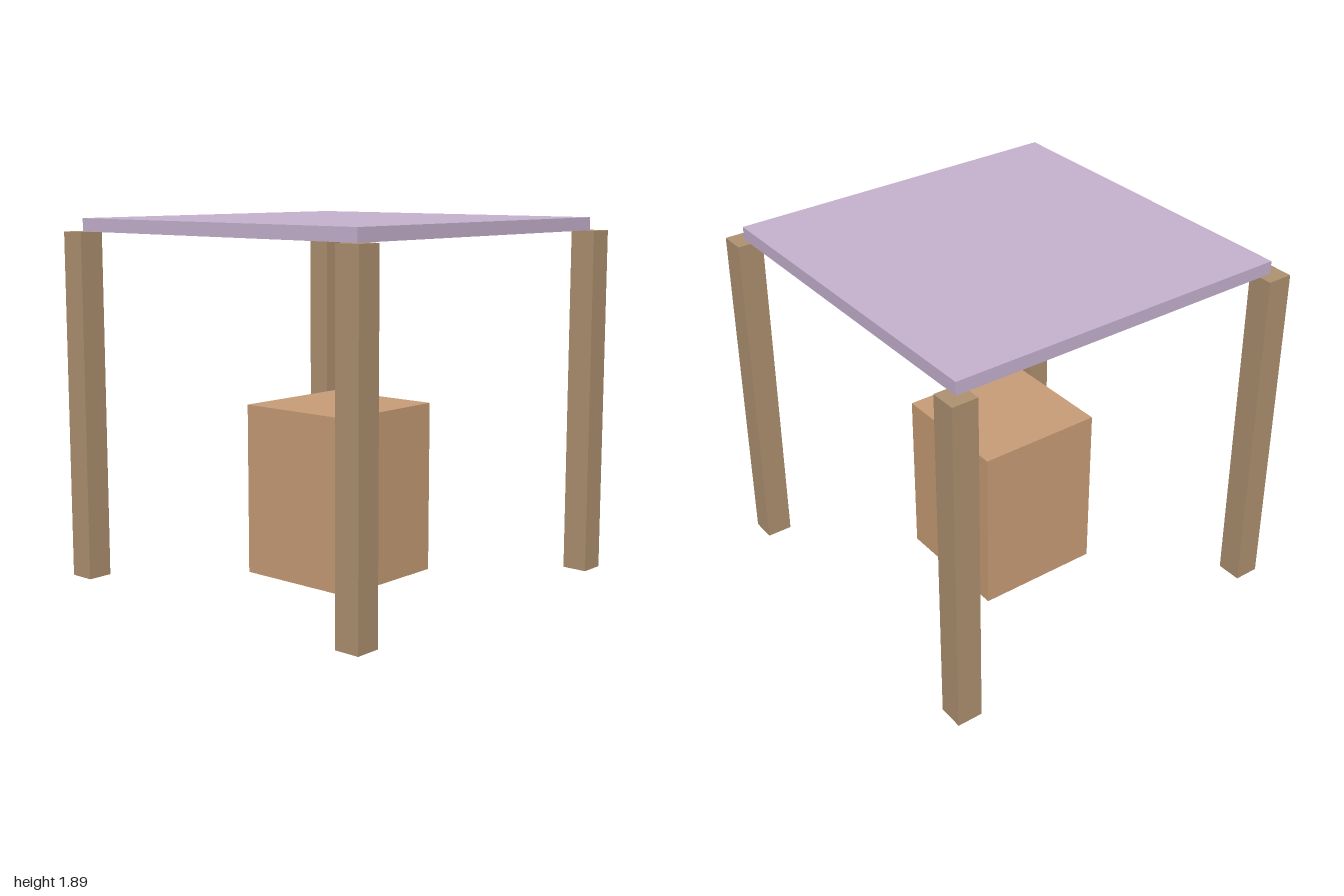
import * as THREE from 'three';

export function createModel() {
  const model = new THREE.Group();
  const material = (color) => new THREE.MeshStandardMaterial({ color });

  // Box standing with its underside at height y
  function addBox(name, width, height, mat, x, y, z) {
    const mesh = new THREE.Mesh(new THREE.BoxGeometry(width, height, width), mat);
    mesh.name = name;
    mesh.position.set(x, y + height / 2, z);
    model.add(mesh);
  }

  const legWidth = 0.136, legHeight = 1.818, legOffset = 1 - legWidth / 2;

  // Four corner posts
  const wood = material(0xb09371);
  for (const [side, sx] of [['Left', 1], ['Right', -1]]) {
    for (const [end, sz] of [['front', 1], ['back', -1]]) {
      addBox(`${end}${side}Post`, legWidth, legHeight, wood, sx * legOffset, 0, sz * legOffset);
    }
  }

  // Flat roof resting on the posts, its corners at the post centres
  addBox('roof', 2 * legOffset, 0.068, material(0xc8b4d2), 0, legHeight, 0);

  // Solid block on the ground in the middle
  addBox('centreBlock', 0.682, 0.909, material(0xcb9f78), 0, 0, 0);

  return model;
}
